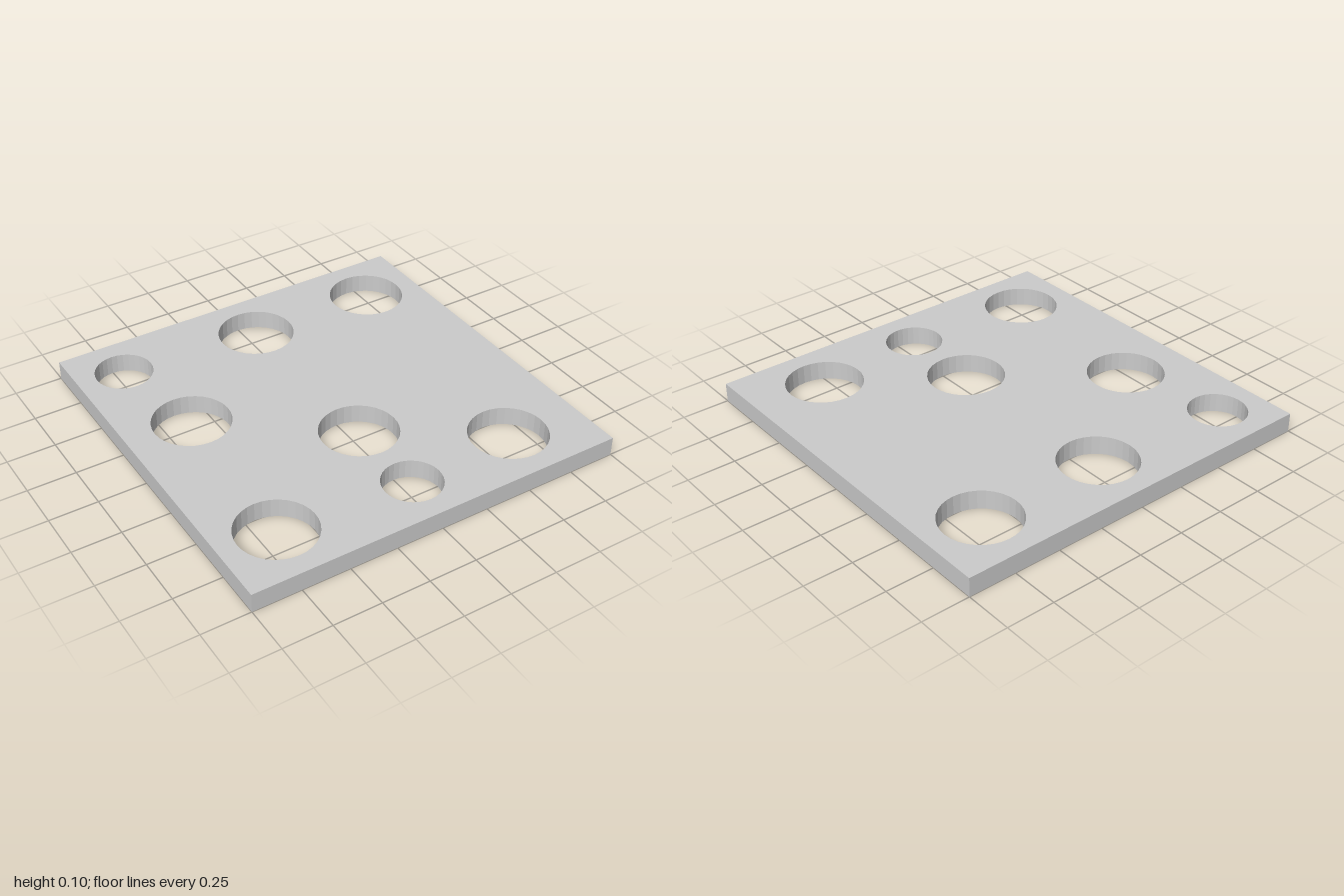
import * as THREE from 'three';

// Round holes: x, z, radius
const HOLES = [
  [-0.75, -0.75, 0.15],
  [0, -0.7, 0.2],
  [0.7, -0.7, 0.2],
  [-0.65, -0.2, 0.2],
  [0, 0.3, 0.2],
  [-0.7, 0.7, 0.2],
  [0, 0.75, 0.15],
  [0.6, 0.7, 0.2],
];

export function createModel() {
  const model = new THREE.Group();
  model.name = 'perforatedPanel';

  // Square outline, drawn flat with shape y = -z
  const outline = new THREE.Shape();
  outline.moveTo(-1, -1);
  outline.lineTo(1, -1);
  outline.lineTo(1, 1);
  outline.lineTo(-1, 1);
  outline.closePath();

  for (const [x, z, radius] of HOLES) {
    const hole = new THREE.Path();
    hole.absarc(x, -z, radius, 0, Math.PI * 2, true);
    outline.holes.push(hole);
  }

  // Plate with faceted hole walls, laid down on the ground
  const geometry = new THREE.ExtrudeGeometry(outline, {
    depth: 0.1,
    bevelEnabled: false,
    curveSegments: 16,
  });
  geometry.rotateX(-Math.PI / 2);

  const material = new THREE.MeshStandardMaterial({ color: 0xcccccc, flatShading: true });
  const plate = new THREE.Mesh(geometry, material);
  plate.name = 'plate';
  model.add(plate);

  return model;
}
